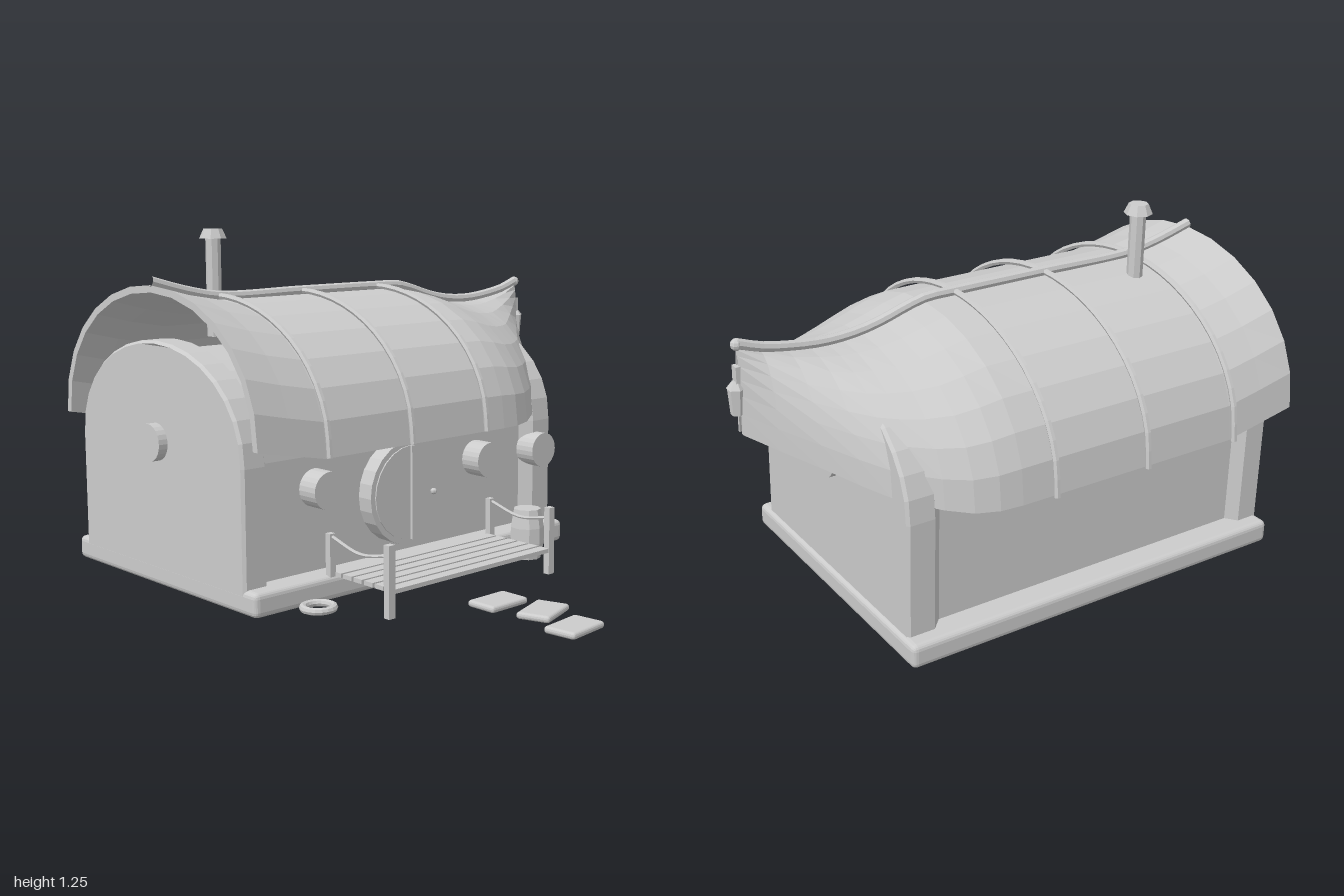
import * as THREE from 'three';
import { RoundedBoxGeometry } from 'three/addons/geometries/RoundedBoxGeometry.js';

const MID_Z = -0.373; // centre line of the house
const grey = new THREE.MeshStandardMaterial({ color: 0xcccccc, flatShading: true });

// Joins closed cross-sections (front foot, over the top, back foot) along x and caps both ends.
function loft(sections) {
  const m = sections[0].length, n = sections.length, index = [];
  for (let i = 0; i < n - 1; i++) {
    for (let j = 0; j < m; j++) {
      const a = i * m + j, b = i * m + (j + 1) % m;
      index.push(a, a + m, b, b, a + m, b + m);
    }
  }
  const end = (n - 1) * m;
  for (let j = 0; j < Math.floor(m / 2) - 1; j++) {
    const a = j, b = j + 1, c = m - 2 - j, d = m - 1 - j;
    index.push(a, b, c, a, c, d);
    index.push(end + a, end + c, end + b, end + a, end + d, end + c);
  }
  const geometry = new THREE.BufferGeometry();
  geometry.setAttribute('position', new THREE.Float32BufferAttribute(sections.flat().flatMap(p => p.toArray()), 3));
  geometry.setIndex(index);
  geometry.computeVertexNormals();
  return geometry;
}

// Half-elliptic arch from the front foot to the back foot
function arch(x, half, foot, top, steps) {
  return Array.from({ length: steps + 1 }, (_, i) => {
    const a = Math.PI * i / steps;
    return new THREE.Vector3(x, foot + (top - foot) * Math.pow(Math.sin(a), 0.93), MID_Z + half * Math.cos(a));
  });
}

// Roof stations: x, half width, eave height, ridge height
const ROOF = [
  [-0.918, 0.585, 0.57, 1.07], [-0.78, 0.585, 0.543, 1.032], [-0.64, 0.585, 0.515, 1.007],
  [-0.265, 0.585, 0.515, 1.007], [0.105, 0.585, 0.515, 1.007], [0.22, 0.585, 0.515, 1.005],
  [0.3, 0.578, 0.515, 0.985], [0.38, 0.553, 0.518, 0.96], [0.46, 0.505, 0.53, 0.942],
  [0.53, 0.45, 0.545, 0.934], [0.585, 0.4, 0.56, 0.932], [0.65, 0.318, 0.585, 0.935],
  [0.73, 0.22, 0.622, 0.945], [0.82, 0.11, 0.66, 0.962], [0.9, 0.018, 0.697, 0.99],
];

// House stations: x, half width; thick end walls with a recessed middle
const HOUSE = [
  [-0.91, 0.48], [-0.9, 0.49], [-0.82, 0.49], [-0.79, 0.45],
  [0.445, 0.45], [0.485, 0.49], [0.575, 0.49], [0.585, 0.48],
];

export function createModel() {
  const model = new THREE.Group();
  const add = (name, geometry, x = 0, y = 0, z = 0) => {
    const mesh = new THREE.Mesh(geometry, grey);
    mesh.name = name;
    mesh.position.set(x, y, z);
    model.add(mesh);
    return mesh;
  };
  const box = (name, w, h, d, x, y, z) => add(name, new THREE.BoxGeometry(w, h, d), x, y, z);
  const tube = (name, points, radius, segments, sides = 6) =>
    add(name, new THREE.TubeGeometry(new THREE.CatmullRomCurve3(points), segments, radius, sides, false));

  // Foundation and arched house
  add('foundation', new RoundedBoxGeometry(1.51, 0.085, 1.095, 2, 0.02), -0.155, 0.057, MID_Z);
  add('houseWalls', loft(HOUSE.map(([x, half]) => [
    new THREE.Vector3(x, 0.08, MID_Z + half),
    ...arch(x, half, 0.5, 0.39 + half, 16),
    new THREE.Vector3(x, 0.08, MID_Z - half),
  ])));

  // Hollow roof shaped like an upturned hull
  add('hullRoof', loft(ROOF.map(([x, half, foot, top]) => [
    ...arch(x, half, foot, top, 14),
    ...arch(x, Math.max(half - 0.025, half * 0.5), foot, top - 0.025, 14).reverse(),
  ])));

  // Ridge beam and roof bands
  tube('ridgeBeam', ROOF.map(([x, , , top]) => new THREE.Vector3(x, top + 0.013, MID_Z)), 0.018, 40, 8);
  for (const x of [-0.64, -0.265, 0.105]) tube('roofBand', arch(x, 0.606, 0.52, 1.02, 14), 0.011, 28);
  add('ridgeEnd', new THREE.SphereGeometry(0.02, 8, 6), 0.9, 1.0, MID_Z);

  // Chimney
  add('chimneyPipe', new THREE.CylinderGeometry(0.028, 0.028, 0.36, 8), -0.56, 1.04, -0.51);
  add('chimneyCap', new THREE.CylinderGeometry(0.034, 0.05, 0.035, 8), -0.56, 1.233, -0.51);

  // Lantern under the bow
  box('lanternBracket', 0.035, 0.06, 0.03, 0.895, 0.9, MID_Z);
  add('lanternCap', new THREE.CylinderGeometry(0.012, 0.032, 0.025, 6), 0.908, 0.868, MID_Z);
  add('lanternBody', new THREE.CylinderGeometry(0.029, 0.022, 0.09, 6), 0.908, 0.812, MID_Z);

  // Round windows and door
  const disc = (name, r, depth, x, y, z) => {
    const mesh = add(name, new THREE.CylinderGeometry(r, r, depth, 24), x, y, z);
    mesh.rotation.x = Math.PI / 2;
    return mesh;
  };
  for (const x of [-0.58, 0.2, 0.5]) disc('frontWindow', 0.066, 0.09, x, 0.39, 0.115);
  disc('doorFrame', 0.19, 0.08, -0.19, 0.325, 0.1);
  disc('door', 0.17, 0.09, -0.19, 0.325, 0.1);
  box('doorSeam', 0.012, 0.34, 0.02, -0.19, 0.325, 0.145);
  add('doorKnob', new THREE.SphereGeometry(0.012, 8, 6), -0.09, 0.315, 0.155);
  for (const x of [-0.92, 0.588]) disc('endWindow', 0.066, 0.05, x, 0.53, MID_Z).rotation.set(0, 0, Math.PI / 2);

  // Porch with slats, posts and sagging ropes
  for (let i = 0; i < 6; i++) box('porchSlat', 0.76, 0.015, 0.042, -0.19, 0.103, 0.18 + i * 0.053);
  for (const x of [-0.58, 0.2]) {
    box('porchPost', 0.028, 0.245, 0.025, x, 0.137, 0.455);
    box('porchBackPost', 0.024, 0.15, 0.024, x, 0.17, 0.16);
    tube('porchRope', [[0.22, 0.45], [0.2, 0.31], [0.235, 0.165]].map(([y, z]) => new THREE.Vector3(x, y, z)), 0.006, 10);
  }

  // Barrel and ring beside the porch
  const barrel = [[0, 0.01], [0.052, 0.01], [0.064, 0.07], [0.064, 0.13], [0.052, 0.2], [0, 0.2]];
  add('barrel', new THREE.LatheGeometry(barrel.map(p => new THREE.Vector2(...p)), 9), 0.325, 0, 0.235);
  const ring = add('ring', new THREE.TorusGeometry(0.052, 0.013, 8, 18), -0.705, 0.032, 0.245);
  ring.rotation.x = Math.PI / 2;

  // Stepping stones
  for (const [x, z, turn] of [[-0.19, 0.57, 0], [-0.16, 0.746, 0.31], [-0.215, 0.927, 0.1]]) {
    add('steppingStone', new RoundedBoxGeometry(0.175, 0.024, 0.12, 2, 0.011), x, 0.014, z).rotation.y = turn;
  }
  return model;
}
